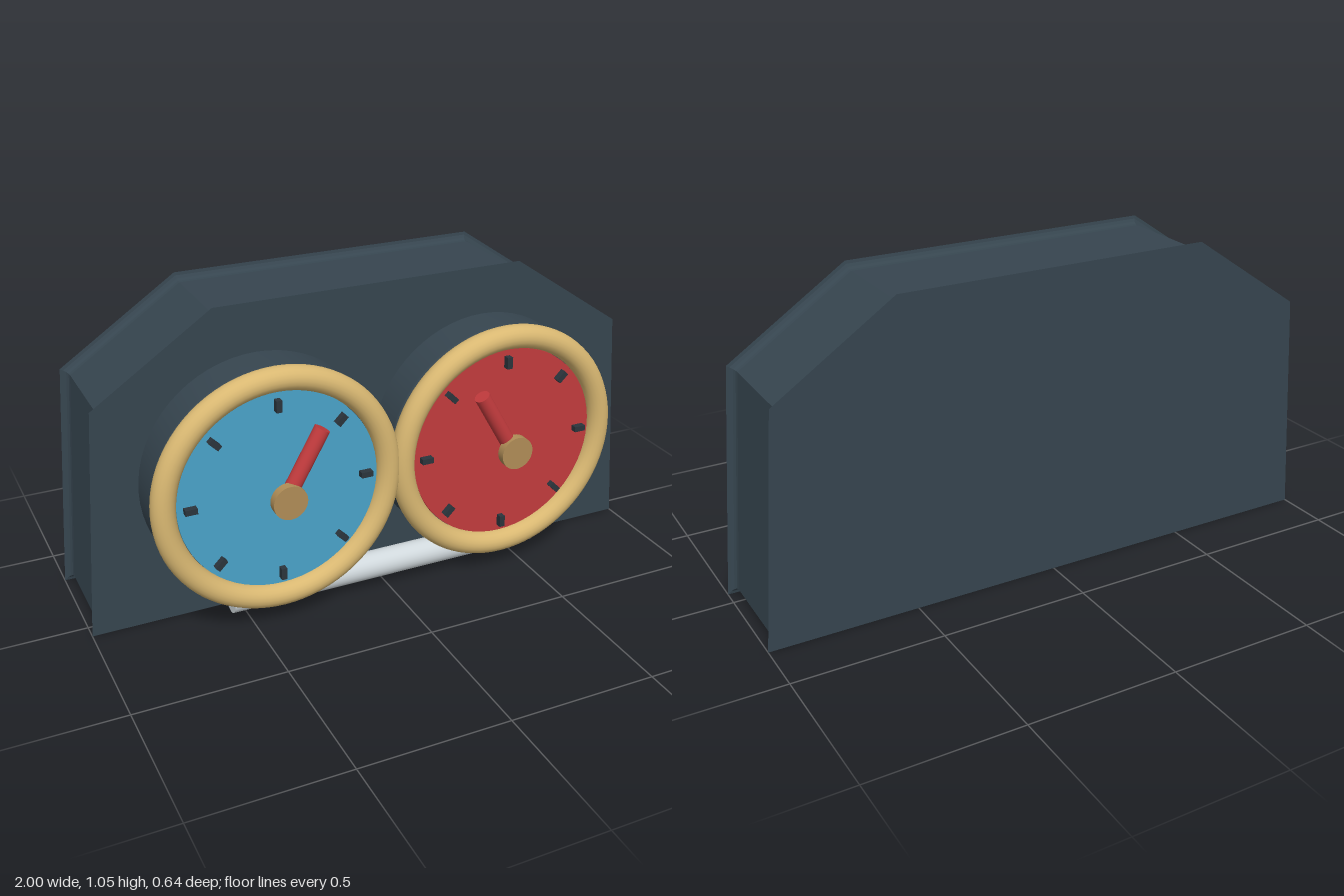
import * as THREE from 'three';

const mat = (name, color) => {
  const m = new THREE.MeshStandardMaterial({ color });
  m.name = name;
  return m;
};

export function createModel() {
  const charcoal = mat('charcoal', 0x36454f);
  const dark = mat('dark tick', 0x2b343c);
  const brass = mat('brass', 0xd9b872);
  const bronze = mat('bronze', 0xb08d57);
  const blue = mat('dial blue', 0x4aa3c9);
  const red = mat('dial red', 0xc23b3d);
  const silver = mat('silver', 0xd0d8dc);

  const model = new THREE.Group();
  model.name = 'twinGauge';
  const add = (parent, name, geometry, material, x = 0, y = 0, z = 0) => {
    const mesh = new THREE.Mesh(geometry, material);
    mesh.name = name;
    mesh.position.set(x, y, z);
    parent.add(mesh);
    return mesh;
  };
  // Cylinder whose axis runs along z
  const disc = (r, depth, sides = 64) =>
    new THREE.CylinderGeometry(r, r, depth, sides).rotateX(Math.PI / 2);

  // Housing: walls set in, flaring out to sharp lips at front and back
  const outline = new THREE.Shape(
    [[-1, 0], [1, 0], [0.94, 0.78], [0.54, 1.05], [-0.54, 1.05], [-0.94, 0.78]]
      .map(([x, y]) => new THREE.Vector2(x, y)));
  const lip = 0.027;
  const housing = new THREE.ExtrudeGeometry(outline, {
    depth: 0.375 - 2 * lip, bevelEnabled: true, bevelThickness: lip,
    bevelSize: -lip, bevelSegments: 4,
  });
  add(model, 'housing', housing, charcoal, 0, 0, -0.32 + lip);

  // Bar below the dials
  add(model, 'lowerBar', new THREE.CylinderGeometry(0.047, 0.047, 1.125, 32).rotateZ(Math.PI / 2),
    silver, 0, 0.082, 0.157);

  // Drum profile with a slightly eased front edge
  const drumProfile = [[0.405, 0.04], [0.405, 0.176], [0.402, 0.183], [0.395, 0.186], [0, 0.186]]
    .map(([r, z]) => new THREE.Vector2(r, z));

  // Two gauges with needles leaning toward each other
  for (const side of [-1, 1]) {
    const gauge = new THREE.Group();
    gauge.name = side < 0 ? 'rightGauge' : 'leftGauge';
    gauge.position.set(side * 0.405, 0.48, 0);
    model.add(gauge);

    add(gauge, 'drum', new THREE.LatheGeometry(drumProfile, 64).rotateX(Math.PI / 2), charcoal);
    add(gauge, 'bezel', new THREE.TorusGeometry(0.378, 0.04, 20, 80), brass, 0, 0, 0.222);
    add(gauge, 'dial', disc(0.337, 0.045), side < 0 ? blue : red, 0, 0, 0.2025);

    // Hour-style tick marks
    for (let i = 0; i < 8; i++) {
      const a = i * Math.PI / 4;
      const tick = add(gauge, 'tick', new THREE.BoxGeometry(0.04, 0.019, 0.025), dark,
        0.295 * Math.cos(a), 0.295 * Math.sin(a), 0.235);
      tick.rotation.z = a;
    }

    const lean = side * Math.PI / 6;
    const needle = add(gauge, 'needle', new THREE.CylinderGeometry(0.026, 0.026, 0.246, 24), red,
      -Math.sin(lean) * 0.125, Math.cos(lean) * 0.125, 0.284);
    needle.rotation.z = lean;
    add(gauge, 'hub', disc(0.057, 0.03, 32), bronze, 0, 0, 0.306);
  }
  return model;
}
